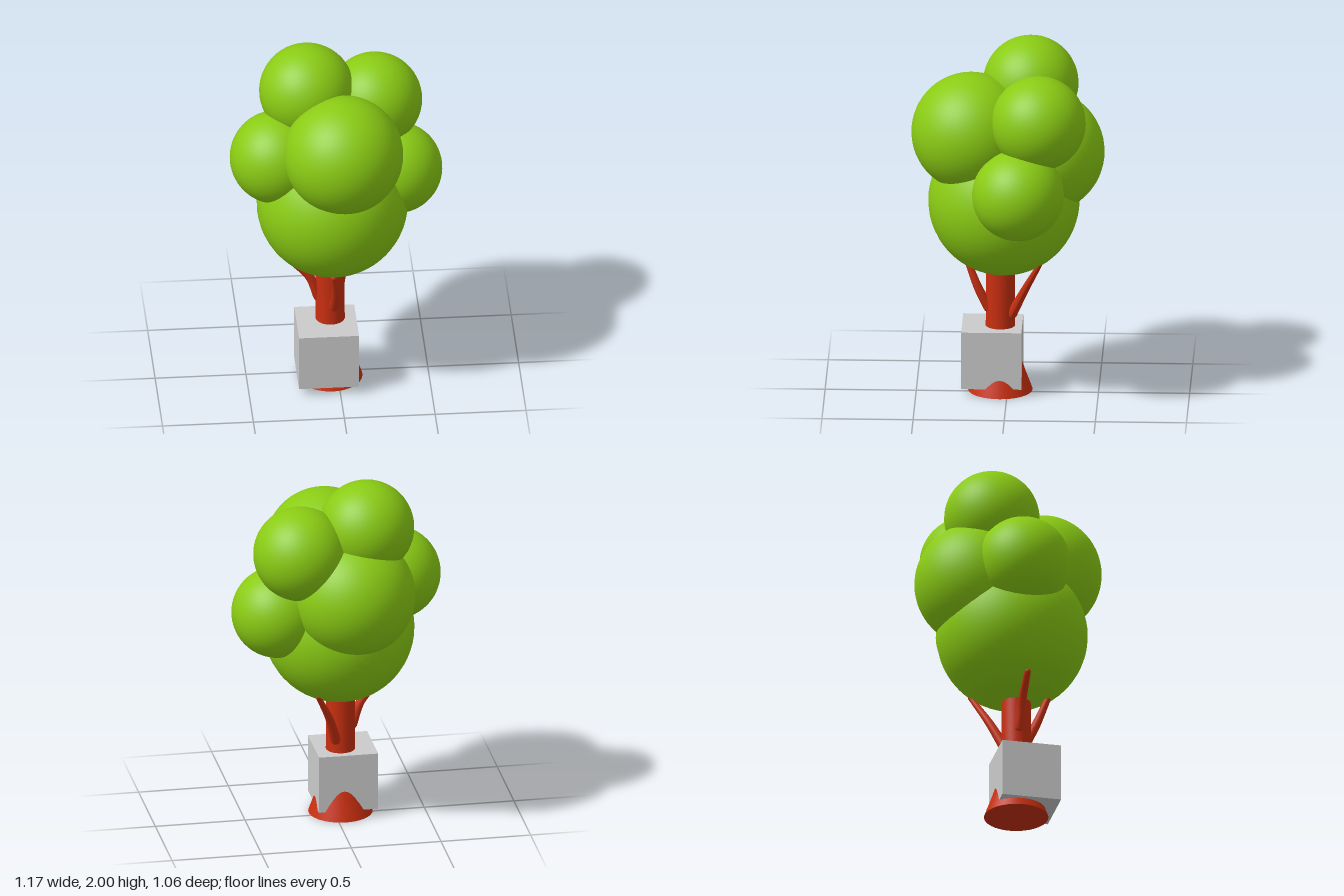
import * as THREE from 'three';

const leafMat = new THREE.MeshStandardMaterial({ color: 0x8acb14 });
const barkMat = new THREE.MeshStandardMaterial({ color: 0xc92f10 });
const boxMat = new THREE.MeshStandardMaterial({ color: 0xcccccc });

function addMesh(group, name, geometry, material, x = 0, y = 0, z = 0) {
  const mesh = new THREE.Mesh(geometry, material);
  mesh.name = name;
  mesh.position.set(x, y, z);
  group.add(mesh);
  return mesh;
}

// Tapered tube with rounded ends along a few points
function addBranch(group, name, points, r0, r1) {
  const branch = new THREE.Group();
  branch.name = name;
  const curve = new THREE.CatmullRomCurve3(points.map(p => new THREE.Vector3(...p)));
  const steps = 16, sides = 12;
  const geo = new THREE.TubeGeometry(curve, steps, r0, sides);
  const pos = geo.attributes.position, v = new THREE.Vector3();
  for (let i = 0; i <= steps; i++) {
    const t = i / steps, centre = curve.getPointAt(t);
    const scale = THREE.MathUtils.lerp(1, r1 / r0, t);
    for (let j = 0; j <= sides; j++) {
      const k = i * (sides + 1) + j;
      v.fromBufferAttribute(pos, k).sub(centre).multiplyScalar(scale).add(centre);
      pos.setXYZ(k, v.x, v.y, v.z);
    }
  }
  geo.computeVertexNormals();
  addMesh(branch, name + 'Limb', geo, barkMat);
  addMesh(branch, name + 'Base', new THREE.SphereGeometry(r0, 12, 8), barkMat, ...points[0]);
  addMesh(branch, name + 'Tip', new THREE.SphereGeometry(r1, 12, 8), barkMat, ...points[points.length - 1]);
  group.add(branch);
}

export function createModel() {
  const tree = new THREE.Group();
  tree.name = 'tree';

  // Foliage: overlapping balls as [name, x, y, z, radius]
  const foliage = new THREE.Group();
  foliage.name = 'foliage';
  tree.add(foliage);
  const balls = [
    ['lowerFoliage', -0.027, 1.1, 0.02, 0.415],
    ['frontFoliage', 0.02, 1.51, 0.198, 0.328],
    ['backFoliage', -0.07, 1.37, -0.19, 0.341],
    ['topFoliage', -0.155, 1.738, -0.123, 0.262],
    ['upperLeftFoliage', 0.223, 1.63, -0.178, 0.26],
    ['rightFoliage', -0.332, 1.402, 0.015, 0.258],
    ['leftFoliage', 0.333, 1.25, -0.07, 0.252],
  ];
  for (const [name, x, y, z, r] of balls)
    addMesh(foliage, name, new THREE.SphereGeometry(r, 48, 32), leafMat, x, y, z);

  // Trunk with a flared foot
  const profile = [[0.177, 0], [0.161, 0.045], [0.14, 0.1], [0.12, 0.16], [0.097, 0.23],
    [0.083, 0.32], [0.08, 0.4], [0.08, 0.69]].map(p => new THREE.Vector2(...p));
  addMesh(tree, 'trunk', new THREE.LatheGeometry(profile, 40), barkMat, -0.04, 0, 0.04);
  const foot = addMesh(tree, 'trunkBottom', new THREE.CircleGeometry(0.177, 40), barkMat, -0.04, 0, 0.04);
  foot.rotation.x = Math.PI / 2;
  const cap = addMesh(tree, 'trunkTop', new THREE.CircleGeometry(0.08, 40), barkMat, -0.04, 0.69, 0.04);
  cap.rotation.x = -Math.PI / 2;

  // Three branches reaching into the foliage
  addBranch(tree, 'frontBranch', [[-0.025, 0.48, 0.105], [-0.02, 0.59, 0.16], [-0.035, 0.73, 0.215]], 0.029, 0.018);
  addBranch(tree, 'rightBranch', [[-0.105, 0.51, 0.04], [-0.155, 0.64, 0.045], [-0.28, 0.775, 0.05]], 0.029, 0.018);
  addBranch(tree, 'backBranch', [[0.0, 0.45, -0.025], [0.045, 0.6, -0.095], [0.125, 0.775, -0.18]], 0.029, 0.014);

  // Box around the lower trunk
  addMesh(tree, 'box', new THREE.BoxGeometry(0.33, 0.327, 0.33), boxMat, -0.063, 0.208, 0.085);

  return tree;
}
